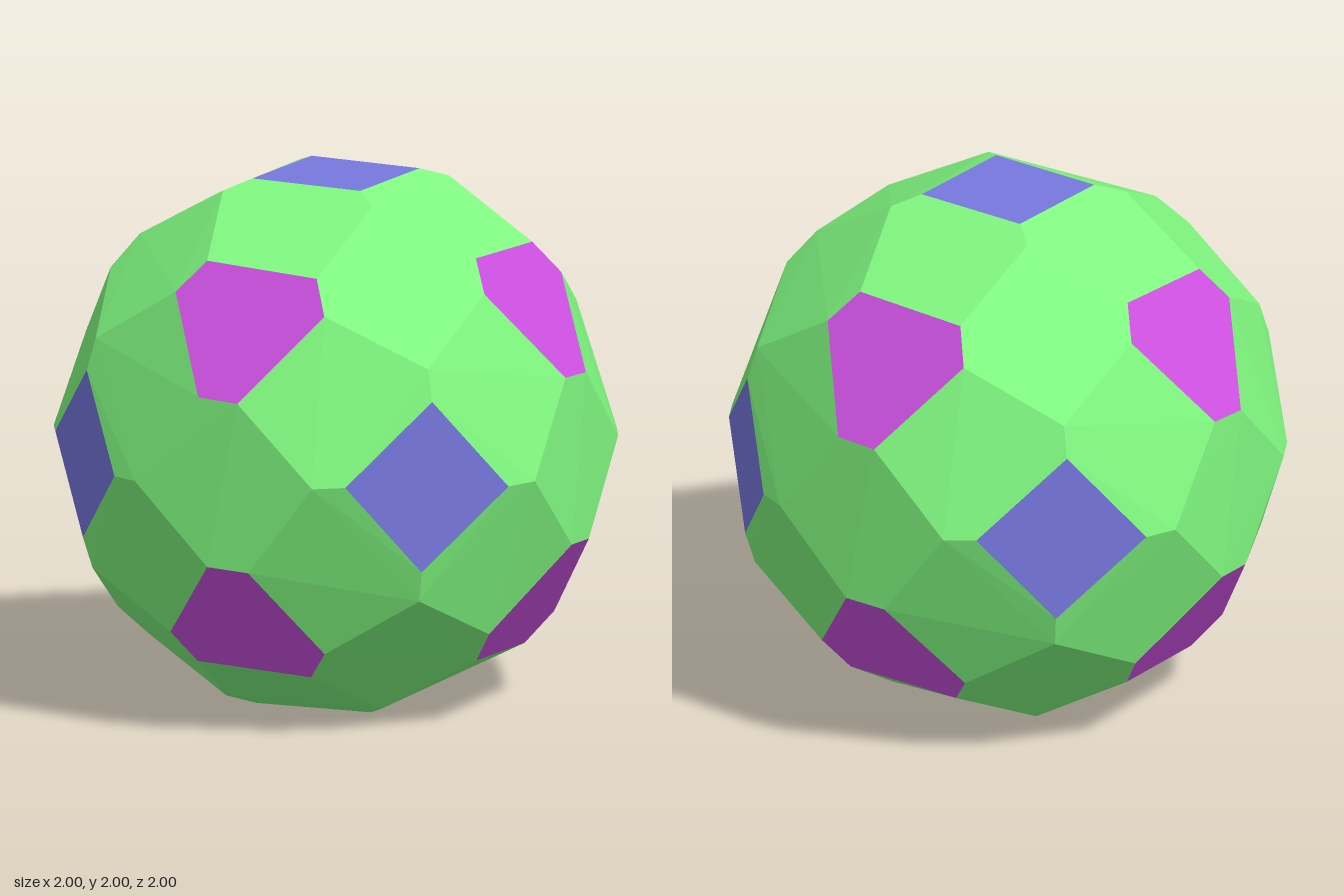
import * as THREE from 'three';
import { ConvexGeometry } from 'three/addons/geometries/ConvexGeometry.js';

// One corner of each kind; the 24 turns of a cube give all the others
const seeds = [
  [0.021, 0.325, 1],        // square panel corner
  [0.017, 0.444, 0.963],    // tip of the short ridge beside a square
  [0.328, 0.778, 0.632],    // hexagon panel corners
  [0.318, 0.666, 0.754],
];

function cubeTurns([x, y, z]) {
  const points = [];
  const even = [[x, y, z], [y, z, x], [z, x, y]];
  const odd = [[y, x, z], [x, z, y], [z, y, x]];
  for (const sx of [1, -1]) for (const sy of [1, -1]) for (const sz of [1, -1]) {
    // mirrored orders need an odd number of sign flips to remain pure turns
    for (const p of sx * sy * sz > 0 ? even : odd) {
      points.push(new THREE.Vector3(p[0] * sx, p[1] * sy, p[2] * sz));
    }
  }
  return points;
}

// Sort a facet by the direction it faces
function panelKind(n) {
  const a = [Math.abs(n.x), Math.abs(n.y), Math.abs(n.z)];
  if (Math.max(...a) > 0.99) return 'squarePanels';
  if ((a[0] + a[1] + a[2]) / Math.sqrt(3) > 0.99) return 'hexagonPanels';
  return 'shellFacets';
}

export function createModel() {
  const group = new THREE.Group();
  group.name = 'facetedBall';
  const colors = { squarePanels: 0x7878e0, hexagonPanels: 0xcc50e0, shellFacets: 0x80f880 };
  const positions = { squarePanels: [], hexagonPanels: [], shellFacets: [] };

  // Convex ball through all corners, split into its panel kinds
  const pos = new ConvexGeometry(seeds.flatMap(cubeTurns)).getAttribute('position');
  const tri = new THREE.Triangle();
  const normal = new THREE.Vector3();
  for (let i = 0; i < pos.count; i += 3) {
    tri.setFromAttributeAndIndices(pos, i, i + 1, i + 2);
    tri.getNormal(normal);
    for (const v of [tri.a, tri.b, tri.c]) positions[panelKind(normal)].push(v.x, v.y + 1, v.z);
  }

  for (const name of Object.keys(positions)) {
    const geometry = new THREE.BufferGeometry();
    geometry.setAttribute('position', new THREE.Float32BufferAttribute(positions[name], 3));
    geometry.computeVertexNormals();
    const material = new THREE.MeshStandardMaterial({ color: colors[name], flatShading: true });
    const mesh = new THREE.Mesh(geometry, material);
    mesh.name = name;
    group.add(mesh);
  }
  return group;
}
